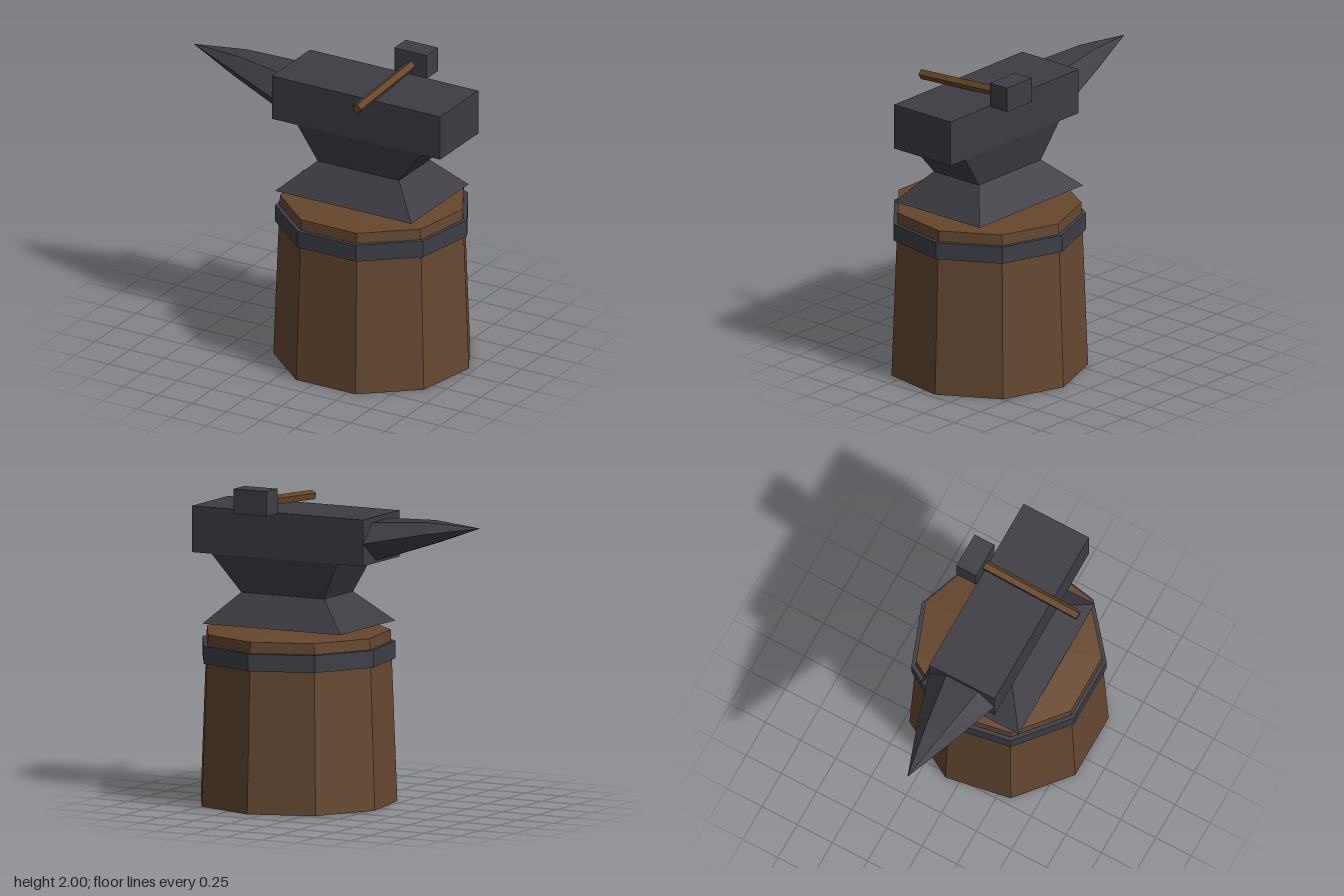
import * as THREE from 'three';

const material = (name, color) => new THREE.MeshStandardMaterial({ name, color });

// Split every face so that each one is shaded flat
function faceted(geometry) {
  const g = geometry.index ? geometry.toNonIndexed() : geometry;
  g.computeVertexNormals();
  return g;
}

// Block with separate rectangles [x0, x1, z0, z1] at its bottom and top
function taperedBlock(y0, y1, bottom, top = bottom) {
  const g = new THREE.BoxGeometry(1, 1, 1);
  const p = g.attributes.position;
  for (let i = 0; i < p.count; i++) {
    const up = p.getY(i) > 0;
    const r = up ? top : bottom;
    p.setXYZ(i, p.getX(i) < 0 ? r[0] : r[1], up ? y1 : y0, p.getZ(i) < 0 ? r[2] : r[3]);
  }
  return faceted(g);
}

// Six-sided horn swept through tilted cross-sections towards -x
function hornGeometry(sections, tip, z) {
  const rings = sections.map(s => Array.from({ length: 6 }, (_, k) => {
    const a = k * Math.PI / 3, v = Math.sin(a) / Math.sin(Math.PI / 3);
    return [s.x + s.lean * v, s.y + s.halfHeight * v, z + s.halfWidth * Math.cos(a)];
  }));
  const first = sections[0], out = [];
  const tri = (...points) => points.forEach(p => out.push(...p));
  for (let k = 0; k < 6; k++) {
    const n = (k + 1) % 6;
    tri([first.x, first.y, z], rings[0][n], rings[0][k]);
    for (let i = 0; i + 1 < rings.length; i++) {
      const a = rings[i], b = rings[i + 1];
      tri(a[k], a[n], b[n]);
      tri(a[k], b[n], b[k]);
    }
    const last = rings[rings.length - 1];
    tri(last[k], last[n], [tip[0], tip[1], z]);
  }
  const g = new THREE.BufferGeometry();
  g.setAttribute('position', new THREE.Float32BufferAttribute(out, 3));
  return faceted(g);
}

export function createModel() {
  const group = new THREE.Group();
  group.name = 'anvilOnStump';

  const wood = material('stump wood', 0x654831);
  const cutWood = material('cut wood', 0x66462c);
  const handleWood = material('handle wood', 0x644425);
  const iron = material('anvil iron', 0x3d3c43);
  const steel = material('band steel', 0x3d3f46);

  const add = (name, geometry, mat, x = 0, y = 0, z = 0) => {
    const mesh = new THREE.Mesh(geometry, mat);
    mesh.name = name;
    mesh.position.set(x, y, z);
    group.add(mesh);
    return mesh;
  };

  // Nine-sided stump with a slightly peaked top
  const cx = 0.34, cz = 0.017, sides = 9;
  add('stump', faceted(new THREE.CylinderGeometry(0.589, 0.63, 1.08, sides, 1, false, Math.PI)), wood, cx, 0.54, cz);
  add('stumpTop', faceted(new THREE.ConeGeometry(0.589, 0.05, sides, 1, true, Math.PI)), cutWood, cx, 1.105, cz);

  // Iron band around the stump
  const bandProfile = [[0.587, 0.9], [0.618, 0.9], [0.618, 1.01], [0.587, 1.01], [0.587, 0.9]]
    .map(p => new THREE.Vector2(...p));
  add('stumpBand', faceted(new THREE.LatheGeometry(bandProfile, sides, Math.PI)), steel, cx, 0, cz);

  // Anvil foot, waist and body
  const waistBottom = [0.04, 0.63, -0.167, 0.205];
  add('anvilFoot', taperedBlock(1.13, 1.32, [-0.17, 0.815, -0.333, 0.368], waistBottom), iron);
  add('anvilWaist', taperedBlock(1.32, 1.555, waistBottom, [-0.08, 0.815, -0.215, 0.25]), iron);
  add('anvilBody', taperedBlock(1.555, 1.847, [-0.265, 0.955, -0.215, 0.25]), iron);

  // Upturned horn
  add('anvilHorn', hornGeometry([
    { x: -0.267, y: 1.696, lean: 0.026, halfHeight: 0.118, halfWidth: 0.232 },
    { x: -0.635, y: 1.766, lean: 0.014, halfHeight: 0.069, halfWidth: 0.118 },
  ], [-0.97, 1.815], 0.0175), iron);

  // Hammer resting on the anvil
  add('hammerHead', taperedBlock(1.842, 2, [0.345, 0.58, -0.357, -0.217]), steel);
  const handle = add('hammerHandle',
    faceted(new THREE.CylinderGeometry(0.033, 0.033, 0.7, 5, 1, false, Math.PI - 0.17)),
    handleWood, 0.465, 1.885, 0.095);
  handle.rotation.x = Math.PI / 2 + 0.065;

  return group;
}
